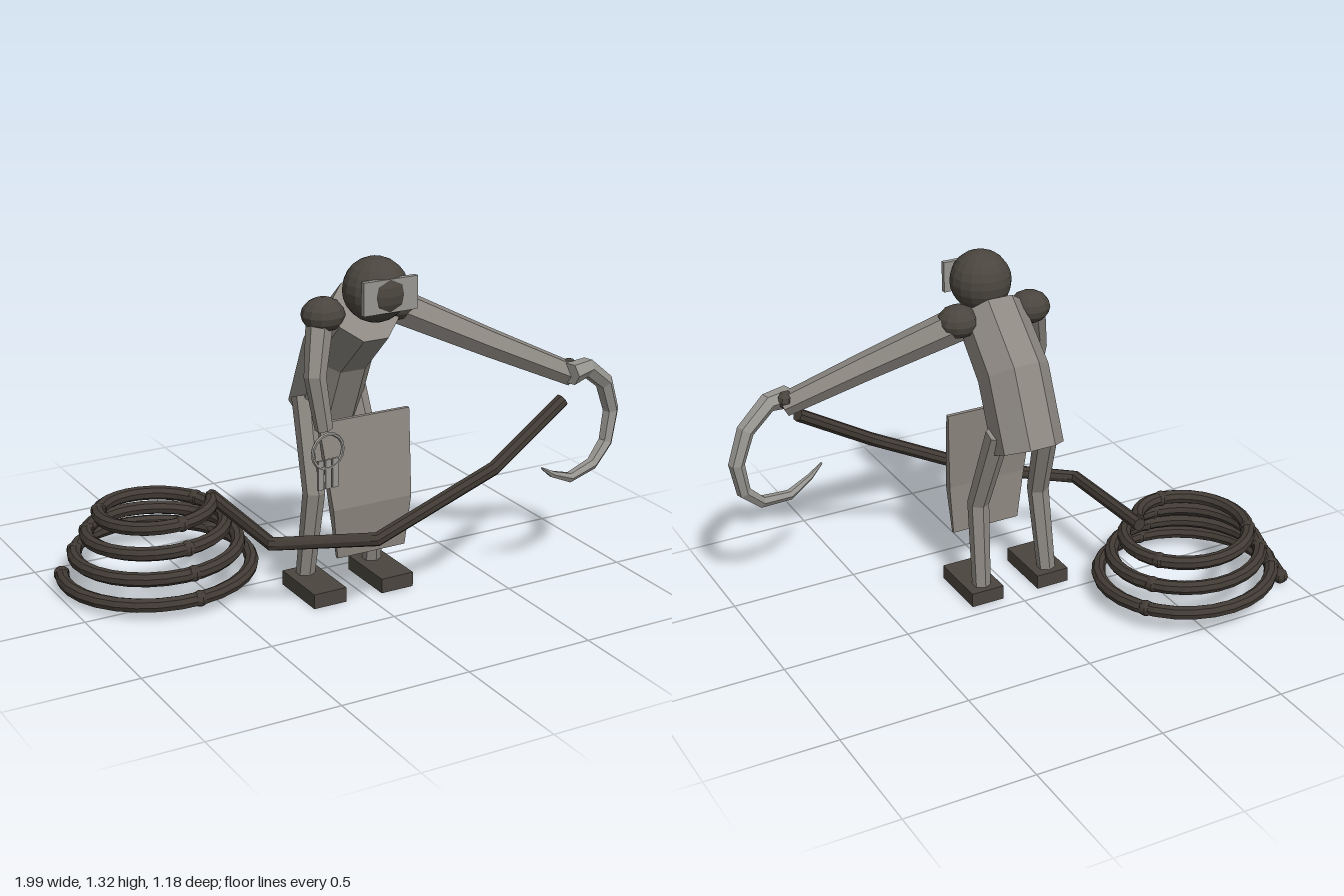
import * as THREE from 'three';

const mat = (name, color) => new THREE.MeshStandardMaterial({ name, color });

export function createModel() {
  const group = new THREE.Group();
  const skin = mat('warm grey', 0x8d8882);
  const steel = mat('pale steel', 0x989691);
  const cloth = mat('apron grey', 0x8d8780);
  const dark = mat('dark brown grey', 0x4a453e);
  const hoseMat = mat('hose brown', 0x423b35);

  // Adds a faceted mesh
  const add = (name, geometry, material, pos = [0, 0, 0], parent = group) => {
    const g = geometry.index ? geometry.toNonIndexed() : geometry;
    g.computeVertexNormals();
    const mesh = new THREE.Mesh(g, material);
    mesh.name = name;
    mesh.position.set(...pos);
    parent.add(mesh);
    return mesh;
  };
  const box = (name, size, pos, material, parent) =>
    add(name, new THREE.BoxGeometry(...size), material, pos, parent);
  const ball = (name, [rx, ry, rz], pos, material, w = 12, h = 8) =>
    add(name, new THREE.SphereGeometry(1, w, h).scale(rx, ry, rz), material, pos);

  // Capped limb along points, with one radius per point
  const limb = (points, radii, sides, turn = 0) => {
    const pts = points.map((p) => new THREE.Vector3(...p));
    const last = pts.length - 1;
    const normal = new THREE.Vector3(1, 0.02, 0.01);
    const frames = pts.map((p, i) => {
      const into = p.clone().sub(pts[Math.max(i - 1, 0)]).normalize();
      const out = pts[Math.min(i + 1, last)].clone().sub(p).normalize();
      const t = into.add(out).normalize();
      if (i === 0 && Math.abs(t.x) > 0.8) normal.set(0, 1, 0);
      normal.addScaledVector(t, -normal.dot(t)).normalize();
      return { n: normal.clone(), b: normal.clone().cross(t) };
    });
    const g = new THREE.CylinderGeometry(1, 1, last, sides, last, false, turn);
    const a = g.attributes.position;
    for (let k = 0; k < a.count; k++) {
      const i = Math.round(a.getY(k) + last / 2);
      const r = Array.isArray(radii) ? radii[i] : radii;
      const v = pts[i].clone()
        .addScaledVector(frames[i].n, a.getX(k) * r)
        .addScaledVector(frames[i].b, a.getZ(k) * r);
      a.setXYZ(k, v.x, v.y, v.z);
    }
    return g;
  };

  // Bent torso
  add('torso', limb([[-0.01, 0.665, -0.01], [-0.01, 0.928, 0.105], [-0.01, 1.105, 0.29]],
    [0.135, 0.135, 0.13], 8, Math.PI / 8), skin);

  // Head and visor plate
  ball('head', [0.117, 0.117, 0.119], [-0.013, 1.203, 0.368], dark, 16, 12);
  box('visor', [0.215, 0.12, 0.02], [-0.01, 1.203, 0.461], steel);

  // Shoulders, legs and feet
  for (const s of [-1, 1]) {
    const side = s < 0 ? 'right' : 'left';
    const c = -0.013;
    ball(side + 'Shoulder', [0.08, 0.063, 0.077], [c + s * 0.15, 1.105, 0.262], dark);
    add(side + 'Leg', limb([[c + s * 0.105, 0.73, 0.035], [c + s * 0.13, 0.39, 0.155],
      [c + s * 0.143, 0.05, 0.11]], [0.047, 0.042, 0.036], 6), skin);
    box(side + 'Foot', [0.135, 0.057, 0.25], [c + s * 0.143, 0.0285, 0.18], dark);
  }

  // Short arm and long arm
  add('rightArm', limb([[-0.175, 1.1, 0.262], [-0.235, 0.905, 0.335], [-0.205, 0.71, 0.345]],
    [0.05, 0.04, 0.033], 6), skin);
  add('leftArm', limb([[0.14, 1.095, 0.262], [0.45, 0.945, 0.39], [0.75, 0.805, 0.495]],
    [0.066, 0.055, 0.045], 6), skin);
  ball('hookKnob', [0.034, 0.034, 0.034], [0.745, 0.83, 0.485], dark, 8, 6);

  // Tapering hook, lying in a slightly turned plane
  const hook = [[0.72, 0.82], [0.81, 0.825], [0.915, 0.745], [0.963, 0.623], [0.94, 0.5],
    [0.866, 0.43], [0.738, 0.41], [0.642, 0.45], [0.583, 0.49]];
  add('hook', limb(hook.map(([x, y]) => [x, y, 0.525 - 0.27 * (x - 0.73)]),
    [0.044, 0.037, 0.034, 0.031, 0.028, 0.024, 0.02, 0.013, 0.004], 6), steel);

  // Apron: a thin slab, bulging at the middle and narrowing downward
  const apron = new THREE.BoxGeometry(2, 2, 2, 1, 2, 1);
  const rows = [ // y, left x, right x, back z, front z
    [0.19, -0.135, 0.148, 0.308, 0.322],
    [0.39, -0.165, 0.16, 0.31, 0.345],
    [0.714, -0.2, 0.175, 0.282, 0.298]];
  const ap = apron.attributes.position;
  for (let k = 0; k < ap.count; k++) {
    const [y, x0, x1, z0, z1] = rows[Math.round(ap.getY(k)) + 1];
    ap.setXYZ(k, ap.getX(k) < 0 ? x0 : x1, y, ap.getZ(k) < 0 ? z0 : z1);
  }
  add('apron', apron, cloth);

  // Key ring with three keys
  const keys = new THREE.Group();
  keys.name = 'keyRing';
  keys.position.set(-0.21, 0.64, 0.382);
  keys.rotation.y = 0.08;
  group.add(keys);
  add('ring', new THREE.TorusGeometry(0.064, 0.007, 6, 16), steel, [0, 0, 0], keys);
  for (const i of [-1, 0, 1]) {
    box('key', [0.023, 0.11, 0.01], [i * 0.031, -0.085, 0], steel, keys);
  }

  // Coiled hose: a rising, narrowing spiral
  const turns = 3.5, steps = 100, start = (203 * Math.PI) / 180;
  const coilAt = (t) => {
    const a = start - t * turns * 2 * Math.PI;
    const r = 0.37 - 0.17 * t;
    return [-0.602 + r * Math.cos(a), 0.035 + 0.28 * t, -0.22 + r * Math.sin(a)];
  };
  const coil = Array.from({ length: steps + 1 }, (_, i) => coilAt(i / steps));
  add('coiledHose', limb(coil, 0.027, 8), hoseMat);

  // Knots along the coil
  for (let i = 0; i < 11; i++) {
    ball('hoseKnot', [0.032, 0.03, 0.032], coilAt((i / 3 - 0.02 + (i ? 0 : 0.02)) / turns),
      hoseMat, 8, 6);
  }

  // Loose end of the hose
  add('looseHose', limb([[-0.405, 0.315, -0.175], [-0.4, 0.298, 0.31], [-0.08, 0.325, 0.51],
    [0.365, 0.535, 0.577], [0.68, 0.73, 0.54]], 0.026, 8), hoseMat);

  return group;
}
